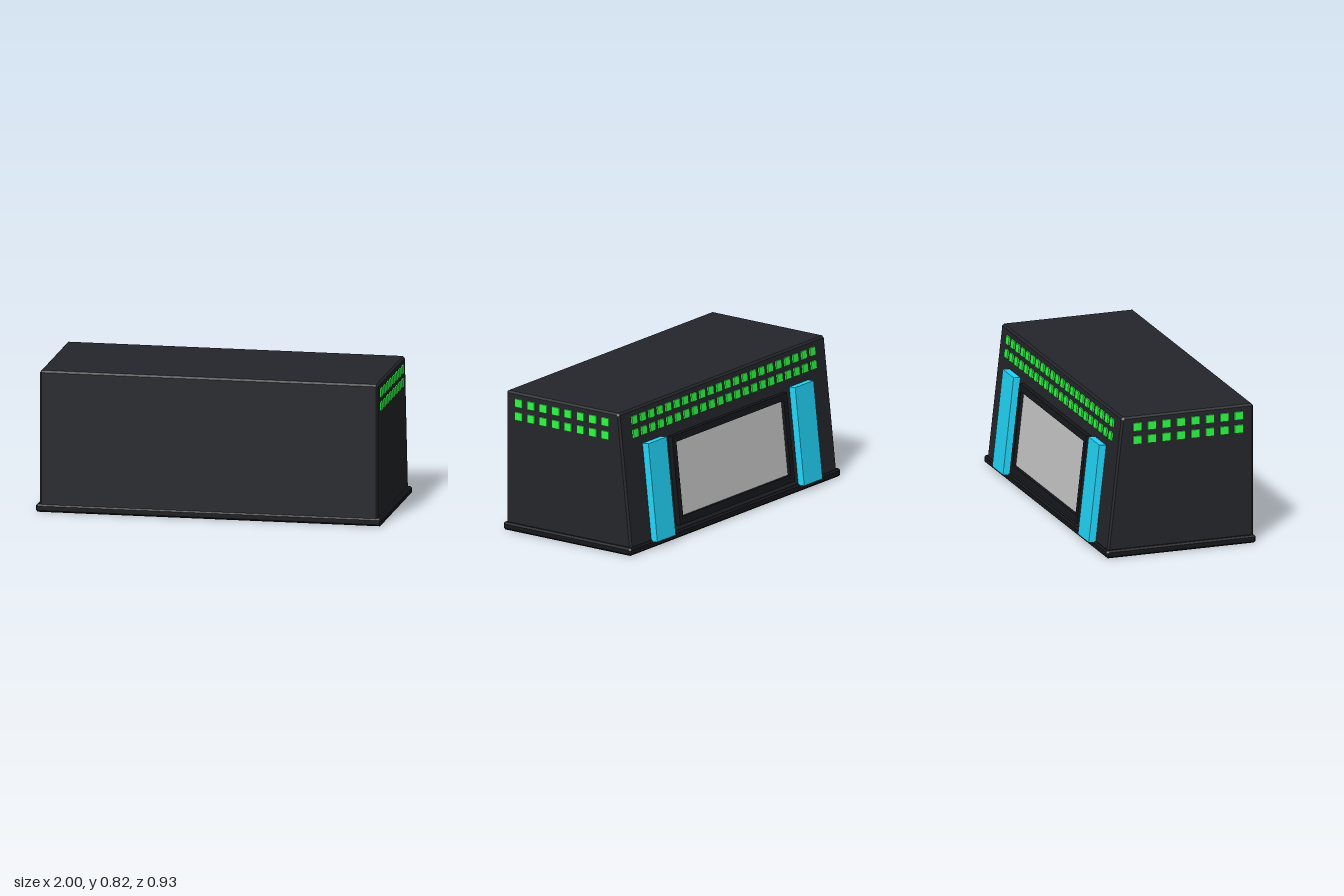
import * as THREE from 'three';

const mat = (color) => new THREE.MeshStandardMaterial({ color, flatShading: true });
const shell = mat(0x25262b);
const trim = mat(0x17181c);
const green = mat(0x2fff47);
const blue = mat(0x22daff);
const grey = mat(0xcccccc);

function add(parent, name, geometry, material, x = 0, y = 0, z = 0) {
  const mesh = new THREE.Mesh(geometry, material);
  mesh.name = name;
  mesh.position.set(x, y, z);
  parent.add(mesh);
  return mesh;
}

// Side profile of [z, y] corners, run across x, with every edge chamfered by c
function chamferedPrism(corners, width, c) {
  const pts = corners.map(([z, y]) => new THREE.Vector2(-z, y));
  const cut = [];
  pts.forEach((p, i) => {
    for (const q of [pts.at(i - 1), pts[(i + 1) % pts.length]]) {
      cut.push(p.clone().add(q.clone().sub(p).setLength(c)));
    }
  });
  const geometry = new THREE.ExtrudeGeometry(new THREE.Shape(cut), {
    depth: width - 2 * c, bevelEnabled: true, bevelSegments: 1,
    bevelSize: c, bevelThickness: c, bevelOffset: -c,
  });
  return geometry.translate(0, 0, -width / 2 + c).rotateY(Math.PI / 2);
}

function rectangle(PathType, w, y0, y1) {
  return new PathType([[-w, y0], [w, y0], [w, y1], [-w, y1]].map(([x, y]) => new THREE.Vector2(x, y)));
}

export function createModel() {
  const model = new THREE.Group();
  model.name = 'console';

  // Cabinet with a sloping back, on a slightly wider plinth
  add(model, 'cabinet', chamferedPrism(
    [[0.459, 0.02], [-0.427, 0.02], [-0.337, 0.822], [0.459, 0.822]], 1.956, 0.011), shell);
  add(model, 'plinth', chamferedPrism(
    [[0.467, 0.002], [-0.438, 0.002], [-0.438, 0.047], [0.467, 0.047]], 2, 0.01), trim);

  // Everything on the back lies in the sloping plane; outward is local -z
  const back = new THREE.Group();
  back.name = 'backPanel';
  back.position.set(0, 0.037, -0.425);
  back.rotation.x = 0.1118;
  model.add(back);

  for (const side of [-1, 1]) {
    add(back, 'pillar', new THREE.BoxGeometry(0.175, 0.574, 0.05), blue, side * 0.697, 0.287, -0.017);
  }

  // Screen recessed in a raised frame
  const outline = rectangle(THREE.Shape, 0.545, 0.04, 0.56);
  outline.holes.push(rectangle(THREE.Path, 0.51, 0.085, 0.52));
  const frame = new THREE.ExtrudeGeometry(outline, { depth: 0.04, bevelEnabled: false });
  add(back, 'screenFrame', frame, trim, 0, 0, -0.03);
  add(back, 'screen', new THREE.BoxGeometry(1.03, 0.445, 0.02), grey, 0, 0.3025, 0);

  // Two rows of square lights on the back and both sides
  const backLight = new THREE.BoxGeometry(0.05, 0.048, 0.02);
  const sideLight = new THREE.BoxGeometry(0.02, 0.048, 0.052);
  for (const y of [0.683, 0.761]) {
    for (let i = 0; i < 22; i++) {
      add(back, 'backLight', backLight, green, (i - 10.5) * 0.0805, (y - 0.039) / Math.cos(0.1118), 0);
    }
    for (let i = 0; i < 8; i++) {
      for (const side of [-1, 1]) {
        add(model, 'sideLight', sideLight, green, side * 0.977, y, 0.368 - i * 0.0875);
      }
    }
  }
  return model;
}
